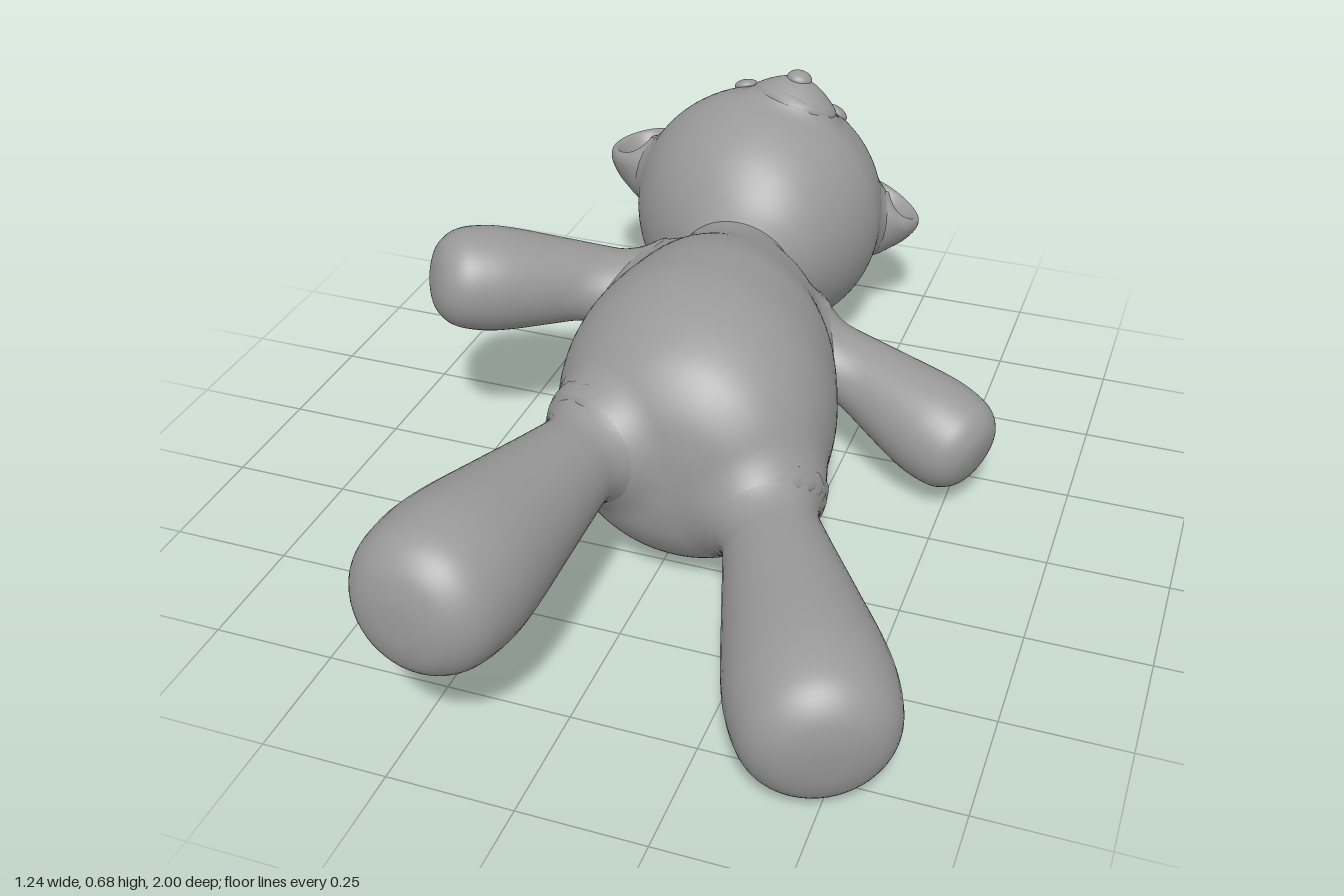
import * as THREE from 'three';
import { mergeVertices } from 'three/addons/utils/BufferGeometryUtils.js';

const material = new THREE.MeshStandardMaterial({ color: 0x999999 });
const V = (x, y, z) => new THREE.Vector3(x, y, z);

function addMesh(parent, name, geometry) {
  const mesh = new THREE.Mesh(geometry, material);
  mesh.name = name;
  parent.add(mesh);
  return mesh;
}

// Welds seams and places a geometry
function weld(geometry, matrix) {
  geometry.deleteAttribute('uv');
  geometry.deleteAttribute('normal');
  const welded = mergeVertices(geometry.applyMatrix4(matrix));
  welded.computeVertexNormals();
  return welded;
}

// Smooth skin through elliptical sections [z, centreX, centreY, radiusX, radiusY]
function loft(sections, rows = 72, sides = 88) {
  const path = new THREE.CatmullRomCurve3(sections.map(s => V(s[1], s[2], s[0])), false, 'catmullrom', 0.5);
  const radii = new THREE.CatmullRomCurve3(sections.map(s => V(s[3], s[4], 0)), false, 'catmullrom', 0.5);
  const positions = [], index = [];
  for (let i = 0; i <= rows; i++) {
    const c = path.getPoint(i / rows), r = radii.getPoint(i / rows);
    for (let j = 0; j < sides; j++) {
      const a = (j / sides) * Math.PI * 2;
      positions.push(c.x + r.x * Math.cos(a), c.y + r.y * Math.sin(a), c.z);
    }
  }
  for (let i = 0; i < rows; i++) {
    for (let j = 0; j < sides; j++) {
      const a = i * sides + j, b = i * sides + (j + 1) % sides;
      index.push(a, b, a + sides, b, b + sides, a + sides);
    }
  }
  const geometry = new THREE.BufferGeometry();
  geometry.setAttribute('position', new THREE.Float32BufferAttribute(positions, 3));
  geometry.setIndex(index);
  return weld(geometry, new THREE.Matrix4());
}

// Smoothed lathe profile from [radius, height] pairs
function turned(profile) {
  const curve = new THREE.SplineCurve(profile.map(([r, h]) => new THREE.Vector2(r, h)));
  const points = curve.getPoints(60).map(p => new THREE.Vector2(Math.max(0, p.x), p.y));
  return new THREE.LatheGeometry(points, 44);
}

// How far each vertex of one skin swells where it nears another skin
function swelling(geometry, other, reach) {
  const p = geometry.attributes.position.array;
  const q = other.attributes.position.array, n = other.attributes.normal.array;
  const amounts = [];
  for (let i = 0; i < p.length; i += 3) {
    let best = Infinity, k = 0;
    for (let j = 0; j < q.length; j += 3) {
      const x = p[i] - q[j], y = p[i + 1] - q[j + 1], z = p[i + 2] - q[j + 2];
      const d = x * x + y * y + z * z;
      if (d < best) { best = d; k = j; }
    }
    const distance = Math.abs((p[i] - q[k]) * n[k] + (p[i + 1] - q[k + 1]) * n[k + 1] + (p[i + 2] - q[k + 2]) * n[k + 2]);
    const near = best < 4 * reach * reach ? Math.max(0, 1 - distance / reach) : 0;
    amounts.push(0.5 * reach * near * near);
  }
  return amounts;
}

// Soft fillet where two skins meet
function blend(meshA, meshB, reach) {
  const a = meshA.geometry, b = meshB.geometry;
  const jobs = [[a, swelling(a, b, reach)], [b, swelling(b, a, reach)]];
  for (const [geometry, amounts] of jobs) {
    const p = geometry.attributes.position.array, n = geometry.attributes.normal.array;
    for (let i = 0; i < p.length; i++) p[i] += n[i] * amounts[Math.floor(i / 3)];
    geometry.computeVertexNormals();
  }
}

// Club-shaped limb, narrow at the root and blunt at the end
function addLimb(parent, name, root, tip, radius) {
  const axis = tip.clone().sub(root), length = axis.length();
  const profile = [
    [0, 0], [0.4, 0.02], [0.57, 0.09], [0.59, 0.2], [0.67, 0.32], [0.83, 0.52], [0.97, 0.7],
    [1, 0.81], [0.92, 0.91], [0.68, 0.97], [0.35, 0.995], [0, 1],
  ].map(([r, t]) => [r * radius, t * length]);
  const turn = new THREE.Quaternion().setFromUnitVectors(V(0, 1, 0), axis.normalize());
  const matrix = new THREE.Matrix4().compose(root, turn, V(1, 1, 1));
  return addMesh(parent, name, weld(turned(profile), matrix));
}

function addBall(parent, name, position, scale, normal) {
  const turn = new THREE.Quaternion().setFromUnitVectors(V(0, 1, 0), normal.normalize());
  const matrix = new THREE.Matrix4().compose(position, turn, scale);
  return addMesh(parent, name, weld(new THREE.SphereGeometry(1, 40, 28), matrix));
}

// Hollow cup ear with a thick rounded rim
function addEar(parent, name, centre, normal, along) {
  const y = normal.normalize();
  const x = V(0, 0, 0).crossVectors(y, along).normalize();
  const z = V(0, 0, 0).crossVectors(x, y);
  const matrix = new THREE.Matrix4().makeBasis(x, y, z)
    .scale(V(0.083, 0.125, 0.113)).setPosition(centre);
  return addMesh(parent, name, weld(turned([
    [0, -1], [0.5, -0.9], [0.84, -0.55], [1, -0.16], [0.95, 0.03],
    [0.82, 0.05], [0.7, -0.08], [0.56, -0.3], [0.3, -0.43], [0, -0.46],
  ]), matrix));
}

export function createModel() {
  const bear = new THREE.Group();
  bear.name = 'teddyBear';

  // Round belly tapering to the neck
  const body = addMesh(bear, 'body', loft([
    [-0.46, -0.07, 0.33, 0.13, 0.13], [-0.39, -0.06, 0.325, 0.14, 0.135],
    [-0.3, -0.03, 0.31, 0.19, 0.175], [-0.2, -0.02, 0.3, 0.225, 0.23],
    [-0.1, 0, 0.298, 0.255, 0.268], [0, 0.01, 0.295, 0.28, 0.288],
    [0.08, 0.02, 0.295, 0.29, 0.295], [0.16, 0.03, 0.293, 0.288, 0.288],
    [0.24, 0.04, 0.29, 0.27, 0.265], [0.31, 0.045, 0.29, 0.23, 0.222],
    [0.36, 0.05, 0.29, 0.165, 0.155], [0.382, 0.055, 0.29, 0.085, 0.08],
    [0.388, 0.055, 0.29, 0, 0],
  ]));

  // Head, crown to neck
  const headGroup = new THREE.Group();
  headGroup.name = 'headGroup';
  bear.add(headGroup);
  const head = addMesh(headGroup, 'head', loft([
    [-0.995, -0.08, 0.33, 0, 0], [-0.985, -0.085, 0.33, 0.085, 0.085],
    [-0.955, -0.09, 0.335, 0.155, 0.155], [-0.9, -0.1, 0.335, 0.218, 0.215],
    [-0.82, -0.105, 0.335, 0.27, 0.27], [-0.72, -0.105, 0.337, 0.293, 0.297],
    [-0.65, -0.105, 0.338, 0.29, 0.293], [-0.57, -0.1, 0.338, 0.262, 0.265],
    [-0.5, -0.09, 0.335, 0.22, 0.225], [-0.43, -0.07, 0.325, 0.162, 0.165],
    [-0.39, -0.06, 0.325, 0.137, 0.135], [-0.36, -0.06, 0.325, 0.12, 0.12],
  ]));

  // Face
  const muzzle = addBall(headGroup, 'muzzle', V(-0.037, 0.6, -0.737), V(0.08, 0.07, 0.058), V(0.2, 1, -0.1));
  blend(head, muzzle, 0.05);
  addBall(headGroup, 'nose', V(-0.028, 0.663, -0.75), V(0.03, 0.02, 0.03), V(0.2, 1, -0.1));
  addBall(headGroup, 'rightEye', V(-0.17, 0.612, -0.79), V(0.028, 0.014, 0.028), V(-0.07, 0.28, -0.1));
  addBall(headGroup, 'leftEye', V(0.045, 0.558, -0.825), V(0.028, 0.014, 0.028), V(0.145, 0.22, -0.135));

  // Ears
  blend(head, addEar(headGroup, 'rightEar', V(-0.43, 0.42, -0.79), V(-0.2, 1, -0.1), V(0.08, 0, 1)), 0.06);
  blend(head, addEar(headGroup, 'leftEar', V(0.168, 0.308, -0.9), V(0.45, 0.87, -0.27), V(0.5, 0, 0.85)), 0.06);

  // Arms and legs
  blend(body, addLimb(bear, 'rightArm', V(-0.13, 0.35, -0.28), V(-0.585, 0.465, 0.065), 0.112), 0.07);
  blend(body, addLimb(bear, 'leftArm', V(0.08, 0.285, -0.315), V(0.57, 0.13, -0.13), 0.112), 0.07);
  blend(body, addLimb(bear, 'rightLeg', V(-0.095, 0.32, 0.24), V(-0.2, 0.355, 0.995), 0.154), 0.08);
  blend(body, addLimb(bear, 'leftLeg', V(0.18, 0.235, 0.2), V(0.525, 0.145, 0.865), 0.156), 0.08);

  return bear;
}
